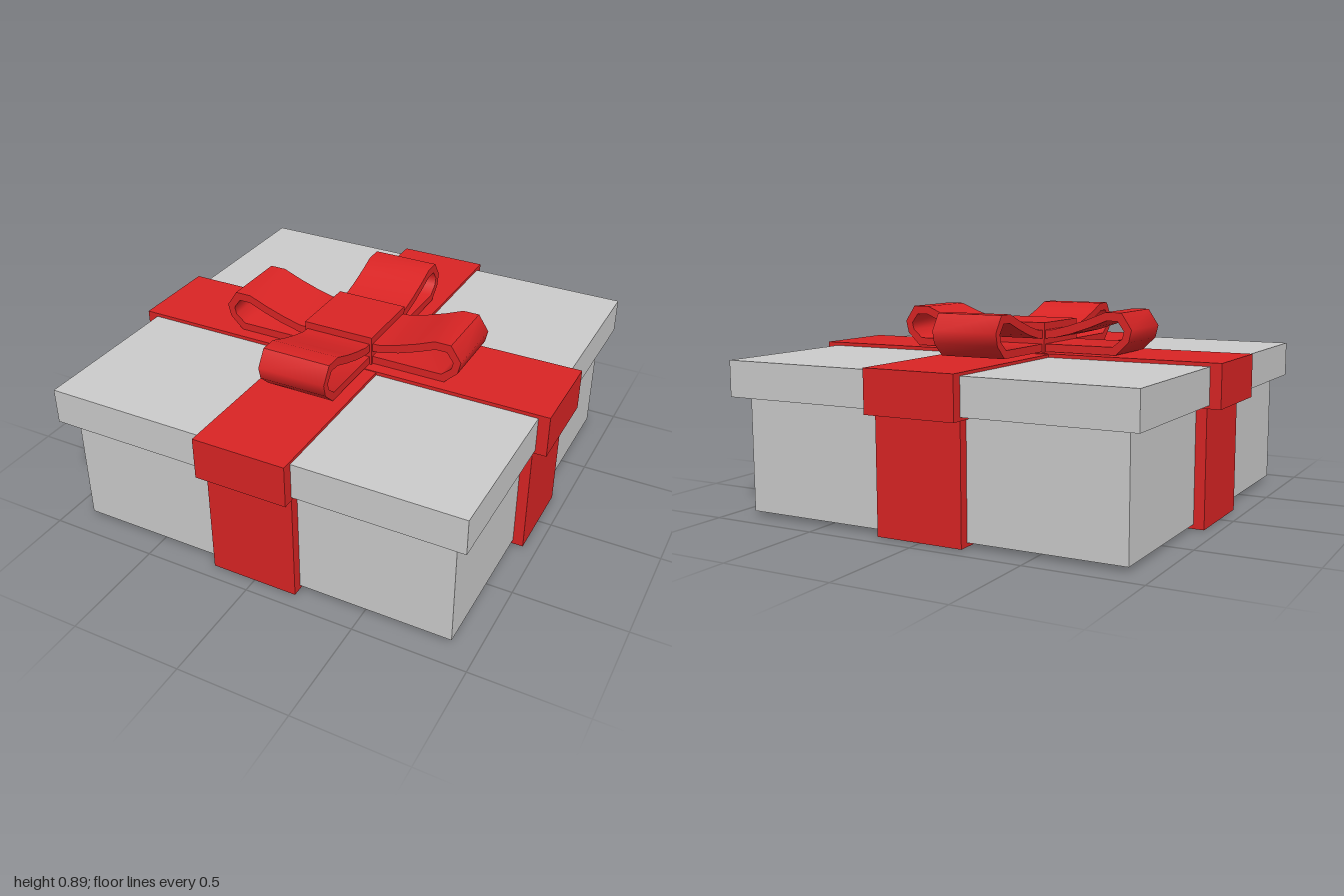
import * as THREE from 'three';
import { toCreasedNormals } from 'three/addons/utils/BufferGeometryUtils.js';

const grey = new THREE.MeshStandardMaterial({ color: 0xcccccc });
const red = new THREE.MeshStandardMaterial({ color: 0xd92424 });

const toPoints = (pairs) => pairs.map(([x, y]) => new THREE.Vector2(x, y));
const rect = (hw, y0, y1) => toPoints([[-hw, y0], [hw, y0], [hw, y1], [-hw, y1]]);

// Closed strip: an outline with a hole, extruded to a width centred on z = 0
function strip(outer, inner, width) {
  const shape = new THREE.Shape(outer);
  shape.holes.push(new THREE.Path(inner));
  const geometry = new THREE.ExtrudeGeometry(shape, { depth: width, bevelEnabled: false });
  return geometry.translate(0, 0, -width / 2);
}

export function createModel() {
  const group = new THREE.Group();
  const add = (name, geometry, material, turn = 0) => {
    const mesh = new THREE.Mesh(geometry, material);
    mesh.name = name;
    mesh.rotation.y = turn;
    group.add(mesh);
    return mesh;
  };
  const block = (name, size, y0, y1, material) =>
    add(name, new THREE.BoxGeometry(size, y1 - y0, size).translate(0, (y0 + y1) / 2, 0), material);

  // Box and lid
  block('boxBody', 1.78, 0.02, 0.53, grey);
  block('lid', 1.9, 0.53, 0.69, grey);

  // Ribbons around the body and the lid, crossing at right angles
  for (let i = 0; i < 2; i++) {
    const turn = (i * Math.PI) / 2;
    const d = i * 0.003;
    add('bodyRibbon', strip(rect(0.937 - d, d, 0.525), rect(0.88, 0.03, 0.5), 0.4), red, turn);
    add('lidRibbon', strip(rect(1 - d, 0.515, 0.706 - d), rect(0.94, 0.54, 0.68), 0.42), red, turn);
  }

  // Four bow loops
  const outer = toPoints([
    [0.08, 0.708], [0.505, 0.708], [0.565, 0.765], [0.578, 0.82], [0.53, 0.892],
    [0.455, 0.892], [0.37, 0.858], [0.28, 0.828], [0.2, 0.807], [0.08, 0.802],
  ]);
  const inner = toPoints([
    [0.12, 0.743], [0.49, 0.743], [0.535, 0.78], [0.543, 0.813], [0.512, 0.855],
    [0.46, 0.855], [0.38, 0.823], [0.29, 0.792], [0.2, 0.77], [0.12, 0.765],
  ]);
  const loop = toCreasedNormals(strip(outer, inner, 0.31), 0.9);
  for (let i = 0; i < 4; i++) add('bowLoop', loop, red, (i * Math.PI) / 2);

  // Knot in the middle of the bow
  block('bowKnot', 0.33, 0.7, 0.838, red);
  return group;
}
